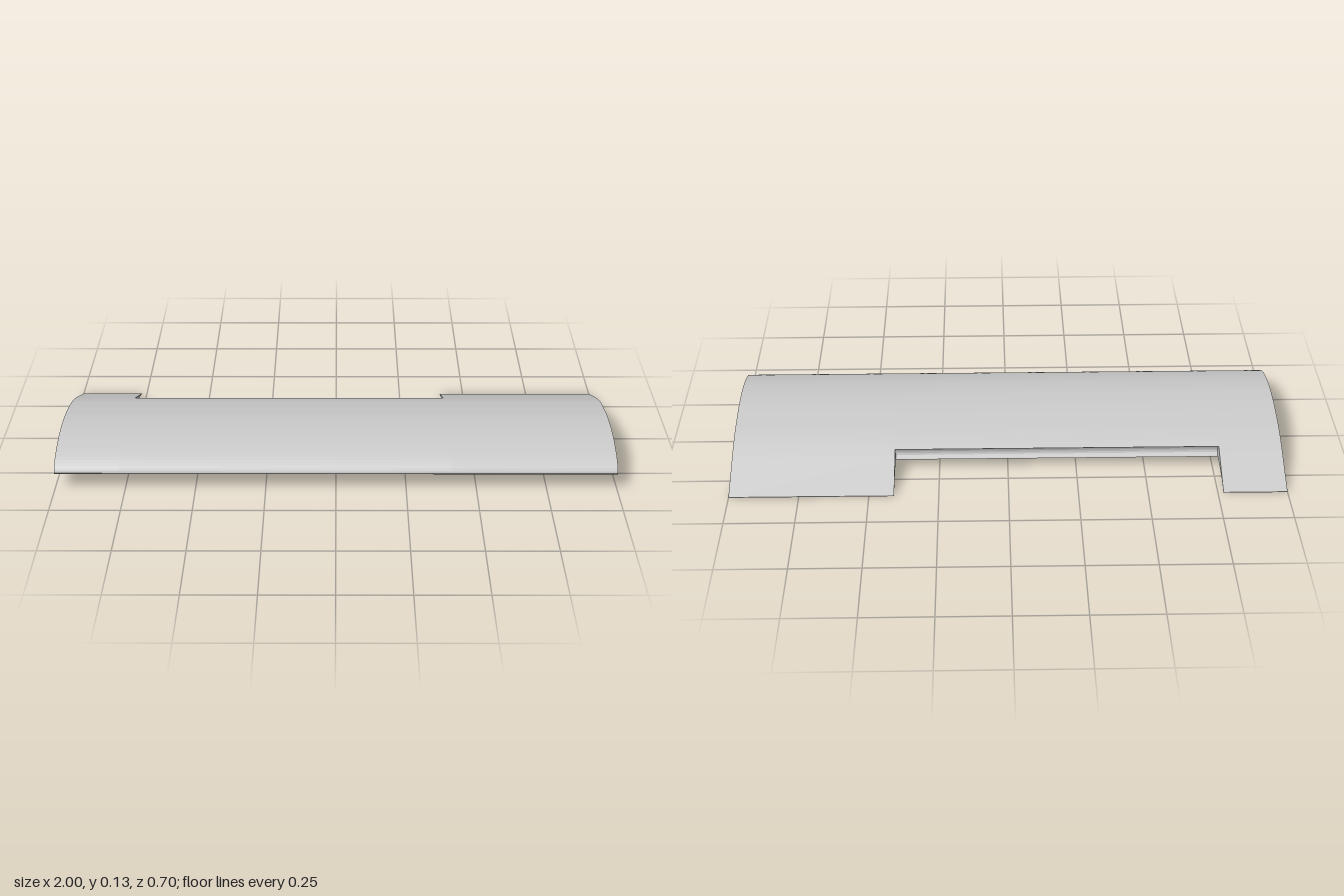
import * as THREE from 'three';

// Aerofoil section as [z, y], leading edge at +z
const UPPER = [[0.352, 0.062], [0.348, 0.07], [0.335, 0.083], [0.3, 0.102], [0.25, 0.118], [0.2, 0.128],
  [0.15, 0.133], [0.11, 0.134], [0.05, 0.131], [0, 0.124], [-0.05, 0.115], [-0.1, 0.104], [-0.15, 0.088], [-0.2, 0.068]];
const LOWER = [[0.352, 0.062], [0.35, 0.057], [0.343, 0.053], [0.333, 0.051], [0.315, 0.05], [0.2, 0.05], [0.1, 0.05],
  [0, 0.045], [-0.1, 0.039], [-0.2, 0.031], [-0.25, 0.026], [-0.3, 0.017], [-0.351, 0]];
const TAIL = [-0.351, 0.002];

// Aileron cut-out
const CUT = { left: 0.41, right: -0.77, z: -0.174, top: 0.0785, bottom: 0.0335, depth: 0.02 };

// Smooth curve through [z, y] points; shape x runs towards the tail
const smooth = (points, n) =>
  new THREE.SplineCurve(points.map(([z, y]) => new THREE.Vector2(-z, y))).getPoints(n);

const upper = smooth(UPPER, 40);
const lower = smooth(LOWER, 40);

// Whole section, sharp at the trailing edge
function fullSection() {
  const tail = new THREE.Vector2(-TAIL[0], TAIL[1]);
  return new THREE.Shape([...upper, tail, ...lower.slice(1).reverse()]);
}

// Section shortened at the cut-out, closed by a hollow cove
function coveSection() {
  const ahead = (p) => p.x < -CUT.z - 0.002;
  const mid = (CUT.top + CUT.bottom) / 2, half = (CUT.top - CUT.bottom) / 2;
  const cove = [];
  for (let i = 0; i <= 10; i++) {
    const a = (i / 10) * Math.PI;
    cove.push(new THREE.Vector2(-CUT.z - CUT.depth * Math.sin(a), mid + half * Math.cos(a)));
  }
  return new THREE.Shape([...upper.filter(ahead), ...cove, ...lower.slice(1).filter(ahead).reverse()]);
}

export function createModel() {
  const group = new THREE.Group();
  group.name = 'wing';
  const material = new THREE.MeshStandardMaterial({ color: 0xcccccc });

  // Spanwise panel between two x positions
  const addPanel = (name, section, from, to) => {
    const geometry = new THREE.ExtrudeGeometry(section, { depth: to - from, bevelEnabled: false });
    geometry.rotateY(Math.PI / 2).translate(from, 0, 0);
    const mesh = new THREE.Mesh(geometry, material);
    mesh.name = name;
    group.add(mesh);
  };

  addPanel('rightPanel', fullSection(), -1, CUT.right);
  addPanel('aileronBayPanel', coveSection(), CUT.right, CUT.left);
  addPanel('leftPanel', fullSection(), CUT.left, 1);
  return group;
}
